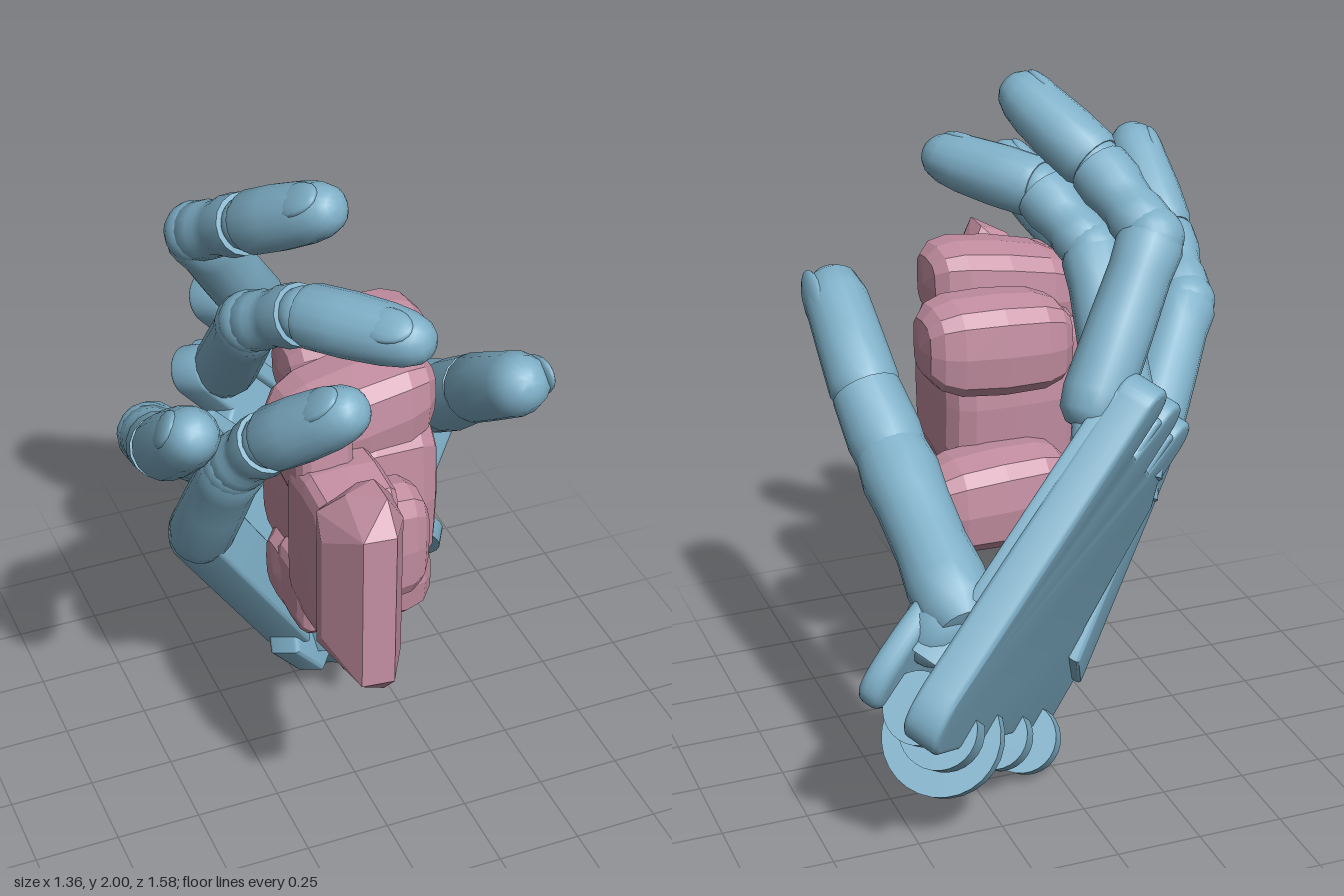
import * as THREE from 'three';
import { ConvexGeometry } from 'three/addons/geometries/ConvexGeometry.js';
import { toCreasedNormals } from 'three/addons/utils/BufferGeometryUtils.js';

const V = (x, y, z) => new THREE.Vector3(x, y, z);
const UP = V(0, 1, 0);

export function createModel() {
  const model = new THREE.Group();
  const blue = new THREE.MeshStandardMaterial({ color: 0x7fb0c8 });
  const pink = new THREE.MeshStandardMaterial({ color: 0xc48fa2, flatShading: true });

  function add(parent, name, geometry, material = blue) {
    const mesh = new THREE.Mesh(geometry, material);
    mesh.name = name;
    parent.add(mesh);
    return mesh;
  }

  // Turned segment from p to q; profile is [radius, fraction of length]
  function segment(parent, name, p, q, profile) {
    const dir = q.clone().sub(p), len = dir.length();
    const pts = profile.map(([r, f]) => new THREE.Vector2(r, f * len));
    const mesh = add(parent, name, toCreasedNormals(new THREE.LatheGeometry(pts, 16), 0.75));
    mesh.position.copy(p);
    mesh.quaternion.setFromUnitVectors(UP, dir.normalize());
  }

  // Flat bevelled part in the palm plane; lift(x, y) tilts it out of the plane
  function slab(parent, name, shape, low, high, bevel, lift = () => 0) {
    const g = new THREE.ExtrudeGeometry(shape, {
      depth: high - low - 2 * bevel, bevelEnabled: true, bevelThickness: bevel,
      bevelSize: bevel, bevelOffset: -bevel, bevelSegments: 3, curveSegments: 8,
    });
    g.translate(0, 0, low + bevel);
    const pos = g.attributes.position;
    for (let i = 0; i < pos.count; i++) pos.setZ(i, pos.getZ(i) + lift(pos.getX(i), pos.getY(i)));
    add(parent, name, toCreasedNormals(g, 0.6));
  }

  // Nail lying on the given side of a tip
  function nail(parent, joint, tip, side, at, height, scale) {
    const dir = tip.clone().sub(joint).normalize();
    side.addScaledVector(dir, -side.dot(dir)).normalize();
    const mesh = add(parent, 'nail', new THREE.SphereGeometry(1, 14, 10));
    mesh.scale.set(...scale);
    mesh.quaternion.setFromRotationMatrix(new THREE.Matrix4().makeBasis(dir.clone().cross(side), dir, side));
    mesh.position.copy(joint).lerp(tip, at).addScaledVector(side, height);
  }

  // Palm frame: x runs to the thumb side, y to the fingers, z out of the palm
  const across = V(0.47, 0.56, -0.684).normalize();
  const along = V(-0.65, 0.74, 0.16).normalize();
  const out = across.clone().cross(along).normalize();
  const palm = new THREE.Group();
  palm.name = 'palm';
  palm.applyMatrix4(new THREE.Matrix4().makeBasis(across, along, out).setPosition(0.05, 0.15, -0.07));
  model.add(palm);

  // Back plate with three knuckle lobes
  const back = new THREE.Shape();
  back.moveTo(0, 0.0);
  back.lineTo(0.86, -0.2);
  back.quadraticCurveTo(0.97, -0.2, 0.96, -0.05);
  [[0.87, 0.87], [0.63, 0.88], [0.4, 0.87]].forEach(([t, u], i) => {
    back.absarc(t, u, 0.075, 0, Math.PI, false);
    back.lineTo(t - 0.08, 0.76);
    if (i < 2) back.lineTo(t - 0.13, 0.76);
  });
  back.lineTo(0.23, 0.7);
  back.lineTo(0.2, 0.3);
  back.lineTo(0, 0.16);
  const backLift = (x, y) => 0.055 * Math.min(1, Math.max(0, x + y));
  slab(palm, 'backPlate', back, -0.13, -0.02, 0.015, backLift);

  // Ribs between the finger roots, the last closing the index side
  [[0.48, 0.6], [0.71, 0.6], [0.92, 0.2]].forEach(([t, start]) => {
    const rib = new THREE.Shape();
    rib.moveTo(t - 0.025, start);
    rib.lineTo(t + 0.025, start);
    rib.absarc(t, 0.86, 0.025, 0, Math.PI, false);
    slab(palm, 'knuckleRib', rib, -0.07, 0.06, 0.01);
  });

  // Outer plate carrying the little finger, rising towards the knuckle
  const outer = new THREE.Shape();
  outer.moveTo(0.04, 0.15);
  outer.lineTo(0.2, 0.2);
  outer.lineTo(0.24, 0.77);
  outer.absarc(0.16, 0.8, 0.08, 0, Math.PI, false);
  slab(palm, 'outerPlate', outer, -0.145, 0.025, 0.015, (x, y) => 0.18 * (y - 0.18));

  // Thin heel pad, tilted up towards the thumb, with a hollow wrist behind it
  const heel = new THREE.Shape();
  heel.moveTo(0.0, -0.01);
  heel.lineTo(0.88, -0.19);
  heel.quadraticCurveTo(0.95, -0.18, 0.95, -0.05);
  heel.quadraticCurveTo(0.95, 0.18, 0.85, 0.24);
  heel.quadraticCurveTo(0.6, 0.25, 0.45, 0.35);
  heel.lineTo(0.3, 0.37);
  heel.lineTo(0.08, 0.22);
  slab(palm, 'heelPad', heel, 0.03, 0.105, 0.025, (x) => 0.085 * Math.max(0, x));

  // Solid middle of the palm
  const core = new THREE.Shape();
  core.moveTo(0.04, 0.06);
  core.lineTo(0.93, 0.0);
  core.lineTo(0.9, 0.2);
  core.lineTo(0.42, 0.33);
  core.lineTo(0.24, 0.32);
  slab(palm, 'palmCore', core, -0.08, 0.05, 0.01, (x) => 0.07 * x);

  // Wrist hinge discs on a pin; the large one cuts through the pad
  const onAxis = (name, r, w, x, y, z, tilt = 0) => {
    const mesh = add(palm, name, toCreasedNormals(new THREE.CylinderGeometry(r, r, w, 28), 0.6));
    mesh.rotation.z = Math.PI / 2 - tilt;
    mesh.position.set(x, y, z);
  };
  [[0.12, -0.07, -0.11, 0.105, 0.08], [0.27, -0.1, -0.07, 0.1, 0.09], [0.53, -0.17, 0.0, 0.17, 0.06],
    [0.67, -0.15, -0.02, 0.11, 0.1], [0.84, -0.12, 0.02, 0.1, 0.07]]
    .forEach(([t, u, n, r, w]) => onAxis('wristDisc', r, w, t, u, n));
  onAxis('wristPin', 0.04, 0.75, 0.47, -0.1, -0.03, 0.13);

  // Socket around the thumb root
  const socket = add(palm, 'thumbSocket', new THREE.SphereGeometry(0.14, 20, 14));
  socket.scale.set(0.8, 1.05, 0.75);
  socket.position.set(0.84, 0.12, 0.1);

  // Segment profiles
  const LONG = [[0, -0.1], [0.06, -0.08], [0.085, -0.02], [0.095, 0.1], [0.092, 0.5], [0.088, 0.8], [0.094, 0.96], [0.075, 1.06], [0, 1.12]];
  const MIDDLE = [[0, -0.1], [0.06, -0.08], [0.084, 0.1], [0.084, 0.3], [0.077, 0.4], [0.08, 0.55], [0.089, 0.7], [0.087, 0.92], [0, 0.95]];
  const TIP = [[0, 0], [0.08, 0], [0.09, 0.06], [0.091, 0.35], [0.085, 0.65], [0.075, 0.82], [0.06, 0.92], [0.04, 0.975], [0.018, 0.995], [0, 1]];

  // One finger: root, knuckle, end joint and tip
  function finger(name, root, knuckle, joint, tip) {
    const g = new THREE.Group();
    g.name = name;
    model.add(g);
    segment(g, 'lowerSegment', root, knuckle, LONG);
    add(g, 'knuckle', new THREE.SphereGeometry(0.088, 16, 12)).position.copy(knuckle);
    segment(g, 'middleSegment', knuckle, joint, MIDDLE);
    add(g, 'endJoint', new THREE.SphereGeometry(0.076, 16, 12)).position.copy(joint);
    segment(g, 'fingertip', joint, tip, TIP);
    // Stem joining the palm
    const stem = root.clone().addScaledVector(along, -0.1).addScaledVector(out, -0.06);
    segment(g, 'rootStem', stem, root, [[0, 0], [0.05, 0], [0.05, 1], [0, 1]]);
    const side = knuckle.clone().sub(root.clone().add(tip).multiplyScalar(0.5));
    nail(g, joint, tip, side, 0.7, 0.062, [0.052, 0.08, 0.022]);
  }

  finger('indexFinger', V(-0.01, 1.25, -0.49), V(-0.26, 1.655, -0.31), V(-0.19, 1.8, -0.07), V(-0.04, 1.97, 0.21));
  finger('middleFinger', V(-0.17, 1.14, -0.36), V(-0.21, 1.52, -0.02), V(-0.13, 1.65, 0.19), V(0.1, 1.69, 0.51));
  finger('ringFinger', V(-0.31, 1.0, -0.19), V(-0.54, 1.29, 0.07), V(-0.58, 1.42, 0.32), V(-0.58, 1.66, 0.61));
  finger('littleFinger', V(-0.38, 0.84, -0.01), V(-0.36, 1.26, 0.25), V(-0.31, 1.42, 0.39), V(-0.15, 1.64, 0.63));

  // Thumb
  const thumb = new THREE.Group();
  thumb.name = 'thumb';
  model.add(thumb);
  const root = V(0.41, 0.8, -0.56), bend = V(0.43, 1.04, -0.12), joint = V(0.45, 1.17, 0.04), tip = V(0.45, 1.41, 0.39);
  segment(thumb, 'thumbBase', root, bend, [[0, -0.2], [0.07, -0.18], [0.105, -0.06], [0.112, 0.12], [0.102, 0.35], [0.104, 0.65], [0.112, 0.85], [0.1, 1.06], [0, 1.15]]);
  segment(thumb, 'thumbMiddle', bend, joint, [[0, -0.3], [0.1, -0.1], [0.108, 0.3], [0.1, 1], [0, 1.05]]);
  segment(thumb, 'thumbTip', joint, tip, [[0, -0.05], [0.09, -0.03], [0.102, 0.05], [0.098, 0.4], [0.093, 0.75], [0.075, 0.91], [0.045, 0.97], [0.02, 0.995], [0, 1]]);
  nail(thumb, joint, tip, V(1, 0.2, 0), 0.75, 0.07, [0.06, 0.1, 0.022]);

  // Held object: faceted boxy lumps; skew lifts the +x end
  const held = new THREE.Group();
  held.name = 'heldObject';
  model.add(held);
  function lump(name, c, s, power, skew = 0) {
    const g = new THREE.SphereGeometry(1, 12, 8);
    g.rotateZ(Math.PI / 2);
    const pos = g.attributes.position;
    const soft = (v, size) => Math.sign(v) * Math.pow(Math.abs(v), power) * size / 2;
    for (let i = 0; i < pos.count; i++) {
      const [x, y, z] = [pos.getX(i), pos.getY(i), pos.getZ(i)].map((v, a) => soft(Math.abs(v) < 1e-6 ? 0 : v, s[a]));
      pos.setXYZ(i, x, y + skew * x, z);
    }
    add(held, name, g, pink).position.set(...c);
  }
  lump('core', [0.0, 1.08, 0.19], [0.43, 0.54, 0.42], 0.45);
  for (const m of [1, -1]) {
    const y = (d) => 1.08 + m * d;
    lump('outerLobe', [-0.02, y(0.27), 0.24], [0.46, 0.28, 0.29], 0.6, m * 0.17);
    lump('rearLobe', [0.11, y(0.235), -0.07], [0.44, 0.28, 0.27], 0.6, m * 0.05);
    lump('sideRidge', [-0.16, y(0.22), 0.33], [0.17, 0.25, 0.24], 0.5);
  }
  lump('neck', [-0.13, 1.08, 0.46], [0.24, 0.5, 0.28], 0.3);
  lump('knob', [-0.03, 1.075, 0.48], [0.26, 0.36, 0.19], 0.6);

  // Wide end plate with a sloping face
  const plate = [];
  for (const m of [1, -1]) {
    for (const [x, y, z] of [[-0.11, 0.32, 0.62], [-0.11, 0.32, 0.71], [-0.04, 0.22, 0.57], [-0.05, 0.22, 0.68], [-0.25, 0.22, 0.57],
      [-0.14, 0.29, 0.58], [-0.26, 0.16, 0.63], [-0.2, 0.24, 0.77], [-0.11, 0.24, 0.78], [-0.19, 0.29, 0.62]]) {
      plate.push(V(x, 1.075 + m * y, z));
    }
  }
  add(held, 'endPlate', new ConvexGeometry(plate), pink);

  return model;
}
